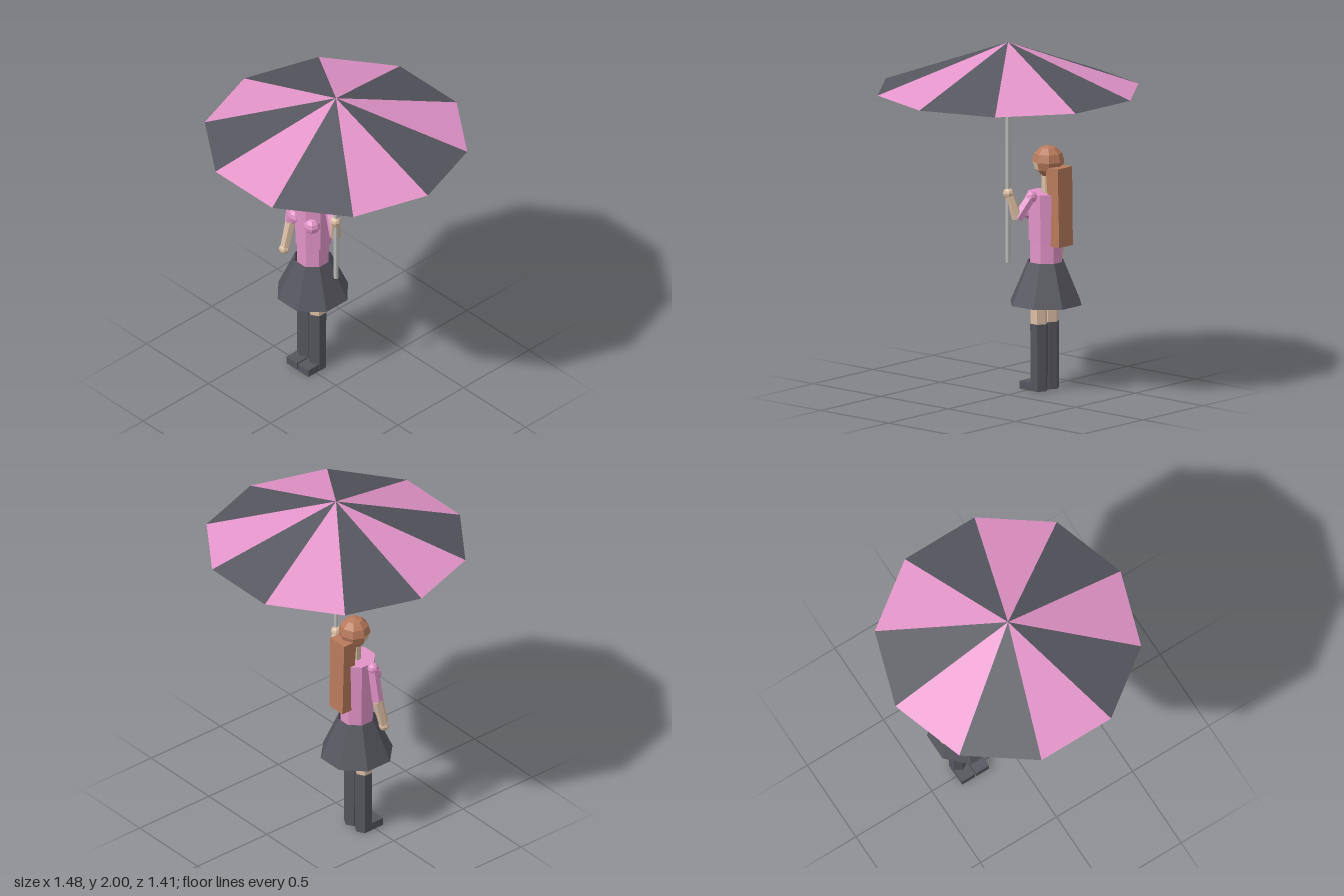
import * as THREE from 'three';
import { mergeGeometries } from 'three/addons/utils/BufferGeometryUtils.js';

export function createModel() {
  const root = new THREE.Group();
  root.name = 'womanWithParasol';
  const mat = (name, color, side = THREE.FrontSide) => {
    const m = new THREE.MeshStandardMaterial({ color, flatShading: true, side });
    m.name = name;
    return m;
  };
  const pink = mat('pink', 0xe294c8, THREE.DoubleSide);
  const dark = mat('charcoal', 0x55565e, THREE.DoubleSide);
  const skin = mat('skin', 0xdcbfa4);
  const hair = mat('brown hair', 0xb87a5c, THREE.DoubleSide);
  const metal = mat('grey metal', 0xb8b8b8);

  const add = (name, geometry, material, x = 0, y = 0, z = 0, parent = root) => {
    const mesh = new THREE.Mesh(geometry, material);
    mesh.name = name;
    mesh.position.set(x, y, z);
    parent.add(mesh);
    return mesh;
  };

  // Upright prism between two heights; a flat face points forward if wanted
  const prism = (name, material, x, z, y0, y1, r0, r1, sides, flatFront = false, open = false) => {
    const g = new THREE.CylinderGeometry(r1, r0, y1 - y0, sides, 1, open);
    if (flatFront) g.rotateY(Math.PI / sides);
    return add(name, g, material, x, (y0 + y1) / 2, z);
  };

  // Limb segment joining two points
  const limb = (name, material, a, b, r0, r1) => {
    const p = new THREE.Vector3(...a), q = new THREE.Vector3(...b);
    const dir = q.clone().sub(p);
    const mesh = add(name, new THREE.CylinderGeometry(r1, r0, dir.length(), 6), material);
    mesh.position.copy(p).add(q).multiplyScalar(0.5);
    mesh.quaternion.setFromUnitVectors(new THREE.Vector3(0, 1, 0), dir.normalize());
    return mesh;
  };
  const ball = (name, material, p, r) => add(name, new THREE.SphereGeometry(r, 8, 6), material, ...p);

  // Parasol: ten alternating panels on a thin pole
  const panels = [[], []];
  for (let i = 0; i < 10; i++) {
    panels[i % 2].push(new THREE.CylinderGeometry(
      0, 0.74, 0.27, 1, 1, true, Math.PI / 2 + i * Math.PI / 5, Math.PI / 5));
  }
  add('darkCanopyPanels', mergeGeometries(panels[0]), dark, 0, 1.865, 0);
  add('pinkCanopyPanels', mergeGeometries(panels[1]), pink, 0, 1.865, 0);
  prism('parasolPole', metal, 0, 0, 0.75, 1.99, 0.0125, 0.0125, 8);

  const bx = -0.25, bz = -0.06;
  const oct = 1 / Math.cos(Math.PI / 8);

  // Torso and skirt
  prism('skirt', dark, bx, bz, 0.49, 0.73, 0.193 * oct, 0.097 * oct, 8, true, true);
  prism('waist', pink, bx, bz, 0.7, 0.85, 0.087 * oct, 0.088 * oct, 8, true);
  prism('chest', pink, bx, bz - 0.005, 0.85, 1.12, 0.098 * oct, 0.104 * oct, 8, true);
  for (const s of [-1, 1]) ball('bust', pink, [bx + s * 0.064, 1.016, 0.006], 0.048);

  // Legs with tall boots
  for (const s of [-1, 1]) {
    const x = bx + s * 0.0465;
    prism('thigh', skin, x, -0.048, 0.37, 0.7, 0.048, 0.05, 6);
    prism('boot', dark, x, -0.05, 0, 0.38, 0.05, 0.052, 6);
    add('foot', new THREE.BoxGeometry(0.084, 0.045, 0.11), dark, x, 0.0225, 0.003);
  }

  // Head: face sphere, with hair over the crown and the back
  const hy = 1.295, hz = -0.075;
  prism('neck', skin, bx, -0.068, 1.1, 1.24, 0.033, 0.033, 8, true);
  ball('face', skin, [bx, hy, hz], 0.086);
  add('hairCrown', new THREE.SphereGeometry(0.09, 8, 3, 0, Math.PI * 2, 0, Math.PI / 2),
    hair, bx, hy + 0.002, hz);
  add('hairBack', new THREE.SphereGeometry(0.09, 4, 3, Math.PI, Math.PI, Math.PI / 2, Math.PI / 2),
    hair, bx, hy + 0.002, hz);

  // Long hair: box narrowing and leaning back toward the tips
  const long = new THREE.BoxGeometry(0.12, 0.445, 0.09);
  const p = long.attributes.position;
  for (let i = 0; i < p.count; i++) {
    if (p.getY(i) < 0) p.setXYZ(i, p.getX(i) * 0.95, p.getY(i), p.getZ(i) * 0.7 - 0.022);
  }
  add('longHair', long, hair, bx, 1.052, -0.155);

  // Arms: one hanging, one raised to hold the parasol
  const arms = [
    { side: 'right', shoulder: [-0.386, 1.11, -0.054], elbow: [-0.408, 0.905, -0.04], hand: [-0.416, 0.725, 0] },
    { side: 'left', shoulder: [-0.116, 1.112, -0.068], elbow: [-0.04, 1.0, -0.035], hand: [-0.004, 1.142, 0] },
  ];
  for (const { side, shoulder, elbow, hand } of arms) {
    ball(side + 'Shoulder', pink, shoulder, 0.033);
    limb(side + 'UpperArm', pink, shoulder, elbow, 0.03, 0.034);
    limb(side + 'Forearm', skin, elbow, hand, 0.032, 0.027);
    ball(side + 'Hand', skin, hand, 0.031);
  }
  return root;
}
